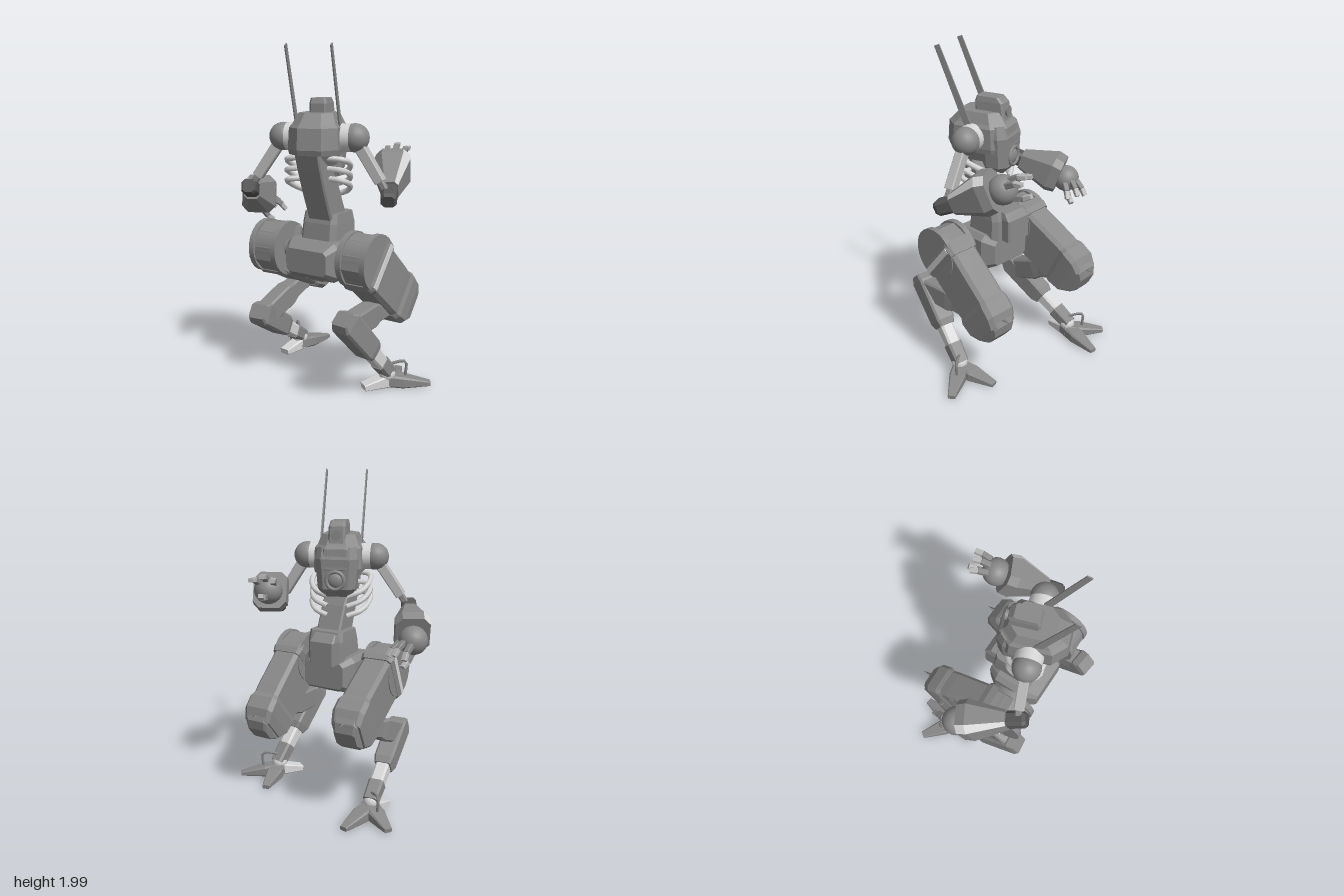
import * as THREE from 'three';

const mat = (name, color) => {
  const m = new THREE.MeshStandardMaterial({ color });
  m.name = name;
  return m;
};
const V = (x, y, z) => new THREE.Vector3(x, y, z);

// Lofts chamfered rectangles along z; each section is [z, width, height, yOffset].
// The side numbered `stripe` gets the second material.
function loft(sections, chamfer = 0.25, stripe = -1) {
  const rings = sections.map(([z, w, h, dy = 0]) => {
    const a = w / 2, b = h / 2, c = Math.min(w, h) * chamfer;
    return [[a, -b + c], [a, b - c], [a - c, b], [-a + c, b], [-a, b - c], [-a, -b + c], [-a + c, -b], [a - c, -b]]
      .map(([x, y]) => V(x, y + dy, z));
  });
  const g = new THREE.BufferGeometry();
  const pos = [];
  const tri = (...p) => p.forEach(v => pos.push(v.x, v.y, v.z));
  for (let k = 0; k < rings.length - 1; k++) {
    for (let i = 0; i < 8; i++) {
      const j = (i + 1) % 8, A = rings[k], B = rings[k + 1];
      if (stripe >= 0) g.addGroup(pos.length / 3, 6, i === stripe ? 1 : 0);
      tri(A[i], A[j], B[j]);
      tri(A[i], B[j], B[i]);
    }
  }
  const s = rings[0], e = rings[rings.length - 1];
  if (stripe >= 0) g.addGroup(pos.length / 3, 36, 0);
  for (let i = 1; i < 7; i++) {
    tri(s[0], s[i + 1], s[i]);
    tri(e[0], e[i], e[i + 1]);
  }
  g.setAttribute('position', new THREE.Float32BufferAttribute(pos, 3));
  g.computeVertexNormals();
  return g;
}
// Same loft standing upright: section is [y, width, depth, zOffset]
const tower = (sections, chamfer) =>
  loft(sections.map(([y, w, d, z = 0]) => [y, w, d, -z]), chamfer).rotateX(-Math.PI / 2);
const drum = (r, w, seg = 20) => new THREE.CylinderGeometry(r, r, w, seg).rotateZ(Math.PI / 2);

export function createModel() {
  const grey = mat('grey armour', 0x898989);
  const pale = mat('pale metal', 0xd6d6d6);
  const soft = mat('soft grey metal', 0xb8b8b8);
  const dark = mat('dark joint', 0x585858);
  const root = new THREE.Group();
  root.name = 'walkingRobot';

  const add = (parent, name, geo, m, x = 0, y = 0, z = 0) => {
    const mesh = new THREE.Mesh(geo, m);
    mesh.name = name;
    mesh.position.set(x, y, z);
    parent.add(mesh);
    return mesh;
  };
  const group = (name, x, y, z, yaw = 0) => {
    const g = new THREE.Group();
    g.name = name;
    g.position.set(x, y, z);
    g.rotation.y = yaw;
    root.add(g);
    return g;
  };
  // Group at a whose +z axis runs towards b
  const limb = (name, a, b) => {
    const g = group(name, a.x, a.y, a.z);
    g.lookAt(b);
    return g;
  };

  // Upper body, turned further than the hips
  const torso = group('torso', 0.1, 0, 0.17, 0.559);
  add(torso, 'chest', tower([[1.39, 0.28, 0.38], [1.42, 0.29, 0.4], [1.54, 0.28, 0.38], [1.56, 0.25, 0.34], [1.62, 0.2, 0.25, -0.01]], 0.26), grey);
  add(torso, 'chestFront', tower([[1.25, 0.17, 0.1, -0.1], [1.3, 0.23, 0.16, -0.115], [1.48, 0.26, 0.17, -0.115], [1.55, 0.23, 0.12, -0.115]], 0.25), grey);
  add(torso, 'chestCore', tower([[1.32, 0.18, 0.2], [1.42, 0.25, 0.32]], 0.25), grey);
  add(torso, 'chestLensRing', new THREE.TorusGeometry(0.053, 0.012, 8, 24), grey, 0, 1.355, -0.198);
  add(torso, 'chestLens', new THREE.SphereGeometry(0.048, 16, 10).scale(1, 1, 0.5), grey, 0, 1.355, -0.19);
  add(torso, 'head', tower([[1.56, 0.11, 0.19, -0.07], [1.67, 0.1, 0.18, -0.06], [1.7, 0.09, 0.14, -0.05]], 0.12), grey);
  add(torso, 'headLens', new THREE.CylinderGeometry(0.028, 0.032, 0.02, 16).rotateX(Math.PI / 2), grey, 0, 1.62, -0.16);

  for (const s of [-1, 1]) {
    for (const [i, y] of [1.37, 1.31, 1.25].entries()) {
      const path = new THREE.CatmullRomCurve3([
        V(s * 0.07, y, 0.09 - i * 0.02), V(s * 0.165, y - 0.01, 0.07), V(s * 0.18, y - 0.045, -0.02),
        V(s * 0.14, y - 0.09, -0.11), V(s * 0.06, y - 0.12, -0.14)]);
      add(torso, 'rib', new THREE.TubeGeometry(path, 14, 0.017, 6), pale);
    }
    add(torso, 'shoulderCollar', drum(0.08, 0.07), pale, s * 0.155, 1.48, 0);
    add(torso, 'shoulderBall', new THREE.SphereGeometry(0.082, 20, 14), grey, s * 0.213, 1.48, 0);
    const rod = add(torso, 'antenna', loft([[0, 0.008, 0.045], [0.475, 0.007, 0.034]], 0.05), grey, s * 0.127 + 0.006, 1.55, 0.03);
    rod.rotation.x = -Math.atan2(0.44, 0.185);
  }

  // Hips and spine
  const pelvis = group('pelvis', 0.1, 0, 0.17, 0.227);
  add(pelvis, 'spine', tower([[0.97, 0.165, 0.17, -0.085], [1.18, 0.165, 0.16, 0.0], [1.3, 0.165, 0.13, 0.055], [1.43, 0.165, 0.12, 0.095]], 0.06), grey, 0.012);
  add(pelvis, 'pelvisShell', loft([[-0.22, 0.26, 0.16], [-0.15, 0.36, 0.23], [0.06, 0.36, 0.23], [0.13, 0.28, 0.14]], 0.13), grey, -0.005, 0.77, 0);
  add(pelvis, 'pelvisKeel', tower([[0.64, 0.13, 0.16, -0.04], [0.7, 0.22, 0.24, -0.04]], 0.15), grey);
  add(pelvis, 'waist', tower([[0.84, 0.25, 0.26, -0.09], [0.98, 0.24, 0.24, -0.1], [1.04, 0.23, 0.2, -0.1]], 0.12), grey);
  add(pelvis, 'waistFront', tower([[0.85, 0.17, 0.12, -0.22], [0.99, 0.17, 0.12, -0.22], [1.03, 0.15, 0.08, -0.2]], 0.08), grey, -0.02);
  add(pelvis, 'hipAxle', drum(0.055, 0.56), grey, 0, 0.8, 0);

  const legs = [
    { side: -1, hip: V(0.407, 0.8, 0.1), knee: V(0.325, 0.485, -0.26), hock: V(0.47, 0.47, 0.28), ankle: V(0.435, 0.1, -0.07),
      toes: [V(0.32, 0.017, -0.3), V(0.6, 0.017, -0.27)], heel: V(0.375, 0.02, 0.07) },
    { side: 1, hip: V(-0.207, 0.8, 0.24), knee: V(-0.325, 0.58, -0.18), hock: V(-0.235, 0.37, 0.33), ankle: V(-0.38, 0.1, -0.08),
      toes: [V(-0.4, 0.017, -0.35), V(-0.6, 0.017, -0.19)], heel: V(-0.365, 0.02, 0.07) },
  ];
  for (const { side, hip, knee, hock, ankle, toes, heel } of legs) {
    // Thigh with round hip housing and capped knee
    const thigh = limb('thigh', hip, knee);
    add(thigh, 'thighShell', loft([[-0.14, 0.14, 0.1], [-0.1, 0.16, 0.24], [0, 0.18, 0.31], [0.34, 0.18, 0.3],
      [0.5, 0.17, 0.28], [0.58, 0.15, 0.2], [0.61, 0.13, 0.1]], 0.12), grey);
    add(thigh, 'thighBand', loft([[0.0, 0.19, 0.32], [0.05, 0.215, 0.335], [0.09, 0.195, 0.32]], 0.1), grey);
    add(thigh, 'thighStripe', new THREE.BoxGeometry(0.008, 0.28, 0.034), pale, side * 0.106, 0, 0.045);
    add(thigh, 'kneeCollar', loft([[0.4, 0.18, 0.3], [0.43, 0.2, 0.31], [0.51, 0.2, 0.29], [0.57, 0.18, 0.2]], 0.12), grey);
    add(thigh, 'hipDrum', drum(0.148, 0.19, 24), grey);
    for (const s of [-1, 1]) add(thigh, 'hipRim', drum(0.162, 0.035, 24), grey, s * 0.078);
    const fin = add(root, 'kneeFin', new THREE.ConeGeometry(0.04, 0.15, 4).rotateX(-Math.PI / 2).scale(1, 0.2, 1), grey,
      knee.x - 0.02, knee.y + 0.045, knee.z - 0.1);
    fin.rotation.y = 0.227;

    // Lower leg folding back, then down to the ankle
    const shin = limb('shin', knee, hock), l1 = knee.distanceTo(hock);
    add(shin, 'shinShell', loft([[0, 0.09, 0.12], [l1 * 0.5, 0.1, 0.11], [l1 * 0.6, 0.11, 0.14], [l1, 0.11, 0.13], [l1 + 0.05, 0.1, 0.08]], 0.1), grey);
    const shank = limb('shank', hock, ankle), l2 = hock.distanceTo(ankle);
    add(shank, 'shankShell', loft([[-0.08, 0.11, 0.09], [-0.04, 0.125, 0.14], [0.24, 0.12, 0.13], [0.28, 0.1, 0.1]], 0.1), grey);
    add(shank, 'shankSleeve', loft([[0.26, 0.085, 0.09], [l2 - 0.1, 0.08, 0.08]], 0.15), pale);
    add(shank, 'shankEnd', loft([[l2 - 0.11, 0.095, 0.09], [l2 + 0.02, 0.085, 0.08]], 0.15), grey);

    // Foot with two front toes, a heel spur and a guard over the outer toe
    add(root, 'ankleBall', new THREE.SphereGeometry(0.05, 14, 10), pale, ankle.x, 0.085, ankle.z);
    const base = V(ankle.x, 0.045, ankle.z - 0.01);
    for (const tip of toes) {
      const toe = limb('toe', base, tip), l = base.distanceTo(tip);
      add(toe, 'toeWedge', loft([[-0.03, 0.09, 0.075], [l * 0.35, 0.1, 0.07], [l, 0.045, 0.025]], 0.15), grey);
    }
    const out = toes[1].clone().sub(base).multiplyScalar(0.4).add(base);
    const guard = new THREE.CatmullRomCurve3([V(ankle.x, 0.14, ankle.z), V(out.x, 0.155, out.z), V(out.x, 0.06, out.z)]);
    add(root, 'ankleGuard', new THREE.TubeGeometry(guard, 8, 0.009, 5), grey);
    const spur = limb('heel', base, heel);
    add(spur, 'heelSpur', loft([[0, 0.09, 0.08], [base.distanceTo(heel), 0.07, 0.035]], 0.12), pale);
  }

  const arms = [
    { stripe: 3, shoulder: V(0.285, 1.47, 0.055), elbow: V(0.465, 1.16, -0.03), hand: V(0.25, 1.31, -0.3), reach: V(-0.09, 0.05, -0.14) },
    { stripe: 1, shoulder: V(-0.085, 1.47, 0.285), elbow: V(-0.255, 1.17, 0.4), hand: V(-0.49, 1.05, 0.14), reach: V(0.01, -0.09, -0.1) },
  ];
  for (const { stripe, shoulder, elbow, hand, reach } of arms) {
    const upper = limb('upperArm', shoulder, elbow), l = shoulder.distanceTo(elbow);
    add(upper, 'upperArmSleeve', loft([[0.06, 0.06, 0.065], [l * 0.75, 0.06, 0.06]], 0.1), soft);
    add(upper, 'upperArmRod', loft([[l * 0.7, 0.04, 0.04], [l, 0.04, 0.04]], 0.2), grey);

    // Flared forearm
    const fore = limb('forearm', elbow, hand);
    add(fore, 'elbowJoint', loft([[-0.06, 0.07, 0.07], [-0.04, 0.09, 0.09], [0.06, 0.09, 0.095], [0.09, 0.06, 0.07]], 0.2), dark);
    add(fore, 'forearmShell', loft([[0.055, 0.095, 0.12], [0.27, 0.21, 0.24, 0.01], [0.33, 0.2, 0.22, 0.01]], 0.2, stripe), [grey, pale]);

    // Ball hand with short jointed fingers
    const palm = limb('hand', hand, hand.clone().add(reach));
    add(palm, 'handBall', new THREE.SphereGeometry(0.085, 20, 14), grey);
    for (const [x, y] of [[-0.045, 0.035], [0, 0.05], [0.045, 0.035], [0, -0.05]]) {
      const finger = new THREE.Group();
      finger.name = 'finger';
      finger.position.set(x, y, 0.055);
      finger.rotation.set(-y * 4, x * 4, 0);
      palm.add(finger);
      add(finger, 'fingerBase', loft([[0, 0.034, 0.034], [0.06, 0.032, 0.03]], 0.1), grey);
      const end = add(finger, 'fingerTip', loft([[0, 0.032, 0.03], [0.05, 0.03, 0.024]], 0.1), soft, 0, 0, 0.057);
      end.rotation.x = y > 0 ? 0.35 : -0.35;
    }
  }
  return root;
}
